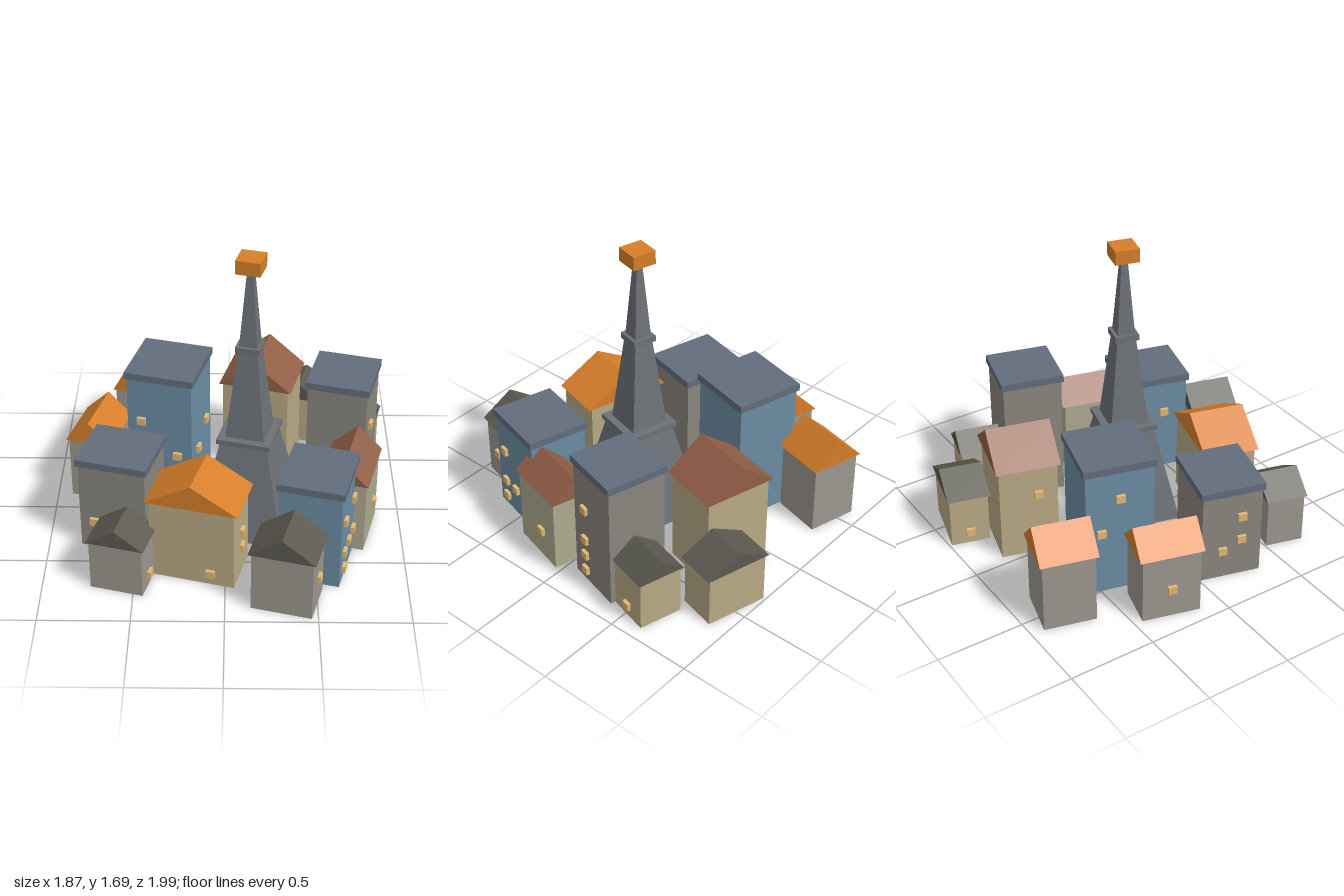
import * as THREE from 'three';

const TURN = -Math.PI / 12; // every block shares one street-grid angle
const mat = (color) => new THREE.MeshStandardMaterial({ color, flatShading: true, roughness: 0.9 });
const M = {
  blue: mat(0x6b8ca3), stone: mat(0x8a867f), plaster: mat(0x9c968e), sand: mat(0xb8a985), sage: mat(0xaeab90),
  orange: mat(0xd67e2a), brown: mat(0x925f47), slate: mat(0x5b5950), slab: mat(0x626d7c),
  tower: mat(0x6d7177), window: mat(0xe3b873),
};

function add(parent, name, geometry, material, x = 0, y = 0, z = 0) {
  const mesh = new THREE.Mesh(geometry, material);
  mesh.name = name;
  mesh.position.set(x, y, z);
  parent.add(mesh);
  return mesh;
}

function block(parent, name, x, z) {
  const g = new THREE.Group();
  g.name = name;
  g.position.set(x, 0, z);
  g.rotation.y = TURN;
  parent.add(g);
  return g;
}

// Triangular prism with its ridge along z, resting on y = 0
function gableGeometry(w, d, rise) {
  const s = new THREE.Shape();
  s.moveTo(-w / 2, 0);
  s.lineTo(w / 2, 0);
  s.lineTo(0, rise);
  s.closePath();
  const g = new THREE.ExtrudeGeometry(s, { depth: d, bevelEnabled: false });
  g.translate(0, 0, -d / 2);
  return g;
}

// Square frustum, bottom side a, top side b, from y0 to y1
function frustum(parent, name, a, b, y0, y1, material) {
  const g = new THREE.CylinderGeometry(b / Math.SQRT2, a / Math.SQRT2, y1 - y0, 4);
  g.rotateY(Math.PI / 4);
  add(parent, name, g, material, 0, (y0 + y1) / 2, 0);
}

// Windows: [face, offset along the face, height]
function addWindows(g, w, d, list) {
  for (const [face, off, y] of list) {
    if (face === 'front') add(g, 'window', new THREE.BoxGeometry(0.05, 0.045, 0.04), M.window, off, y, d / 2);
    else add(g, 'window', new THREE.BoxGeometry(0.04, 0.045, 0.05), M.window, (face === 'right' ? 0.5 : -0.5) * w, y, off);
  }
}

function flatHouse(parent, [x, z, w, d, top, wall, wins]) {
  const g = block(parent, 'flatRoofHouse', x, z);
  const t = 0.043, bw = w - 0.024, bd = d - 0.024;
  add(g, 'walls', new THREE.BoxGeometry(bw, top - t, bd), M[wall], 0, (top - t) / 2, 0);
  add(g, 'roofSlab', new THREE.BoxGeometry(w, t, d), M.slab, 0, top - t / 2, 0);
  addWindows(g, bw, bd, wins);
}

function gableHouse(parent, [x, z, w, d, eave, peak, wall, roof, wins]) {
  const g = block(parent, 'gableHouse', x, z);
  const bw = w / 1.1, bd = d / 1.1;
  add(g, 'walls', new THREE.BoxGeometry(bw, eave, bd), M[wall], 0, eave / 2, 0);
  add(g, 'gableRoof', gableGeometry(w, d, peak - eave), M[roof], 0, eave, 0);
  addWindows(g, bw, bd, wins);
}

export function createModel() {
  const town = new THREE.Group();
  town.name = 'town';

  // Tapering central spire with two ledges and a block on top
  const spire = block(town, 'spire', 0.13, 0.066);
  frustum(spire, 'spireBase', 0.515, 0.27, 0, 0.575, M.tower);
  frustum(spire, 'lowerLedge', 0.305, 0.305, 0.575, 0.605, M.tower);
  frustum(spire, 'lowerShaft', 0.22, 0.11, 0.605, 1.13, M.tower);
  frustum(spire, 'upperLedge', 0.137, 0.137, 1.13, 1.165, M.tower);
  frustum(spire, 'upperShaft', 0.1, 0.035, 1.165, 1.61, M.tower);
  frustum(spire, 'topBlock', 0.139, 0.139, 1.61, 1.69, M.orange);

  // Flat-roofed houses: x, z, width, depth, top, wall, windows
  const flats = [
    [-0.34, -0.34, 0.41, 0.41, 0.81, 'blue', [
      ['front', -0.107, 0.495], ['front', -0.107, 0.285], ['front', 0, 0.39], ['front', 0.107, 0.285], ['front', 0.107, 0.18],
      ['right', -0.08, 0.39], ['right', 0.08, 0.285], ['left', -0.107, 0.39], ['left', 0, 0.6]]],
    [-0.585, 0.227, 0.41, 0.37, 0.585, 'stone', [
      ['front', -0.107, 0.18], ['left', 0.055, 0.39], ['left', 0.055, 0.24], ['left', -0.055, 0.18]]],
    [0.504, 0.479, 0.37, 0.41, 0.63, 'blue', [
      ['front', 0.055, 0.075], ['front', -0.055, 0.18],
      ['right', 0.11, 0.39], ['right', -0.11, 0.39], ['right', 0.11, 0.18], ['right', 0, 0.18], ['right', -0.11, 0.18],
      ['right', 0.11, 0.075], ['left', -0.11, 0.285], ['left', 0.05, 0.39]]],
    [0.673, -0.27, 0.37, 0.37, 0.785, 'stone', [
      ['right', 0.065, 0.49], ['right', 0.065, 0.285], ['right', 0.065, 0.18], ['right', 0.065, 0.075],
      ['left', -0.055, 0.39], ['left', 0.055, 0.285]]],
  ];
  flats.forEach((f) => flatHouse(town, f));

  // Gabled houses: x, z, roof width, roof depth, eave, peak, wall, roof, windows
  const gables = [
    [-0.5, -0.745, 0.322, 0.322, 0.42, 0.575, 'plaster', 'orange', []],
    [-0.752, -0.26, 0.28, 0.36, 0.395, 0.53, 'plaster', 'orange', [['left', 0, 0.18]]],
    [-0.145, 0.521, 0.525, 0.323, 0.49, 0.64, 'sand', 'orange', [
      ['front', 0.107, 0.075], ['right', 0, 0.18], ['right', 0, 0.285]]],
    [0.208, -0.587, 0.435, 0.368, 0.57, 0.74, 'sand', 'brown', [['front', -0.055, 0.385], ['left', 0.055, 0.39]]],
    [0.697, 0.177, 0.284, 0.398, 0.445, 0.575, 'sage', 'brown', [['right', -0.05, 0.18]]],
    [-0.562, 0.651, 0.328, 0.241, 0.305, 0.41, 'plaster', 'slate', [['right', 0, 0.075]]],
    [0.335, 0.804, 0.371, 0.285, 0.365, 0.495, 'plaster', 'slate', [['right', 0, 0.18]]],
    [0.462, -0.831, 0.398, 0.246, 0.305, 0.41, 'sand', 'slate', [['left', 0, 0.075]]],
    [0.768, -0.553, 0.279, 0.268, 0.3, 0.405, 'sand', 'slate', [['right', 0, 0.075]]],
  ];
  gables.forEach((h) => gableHouse(town, h));
  return town;
}
